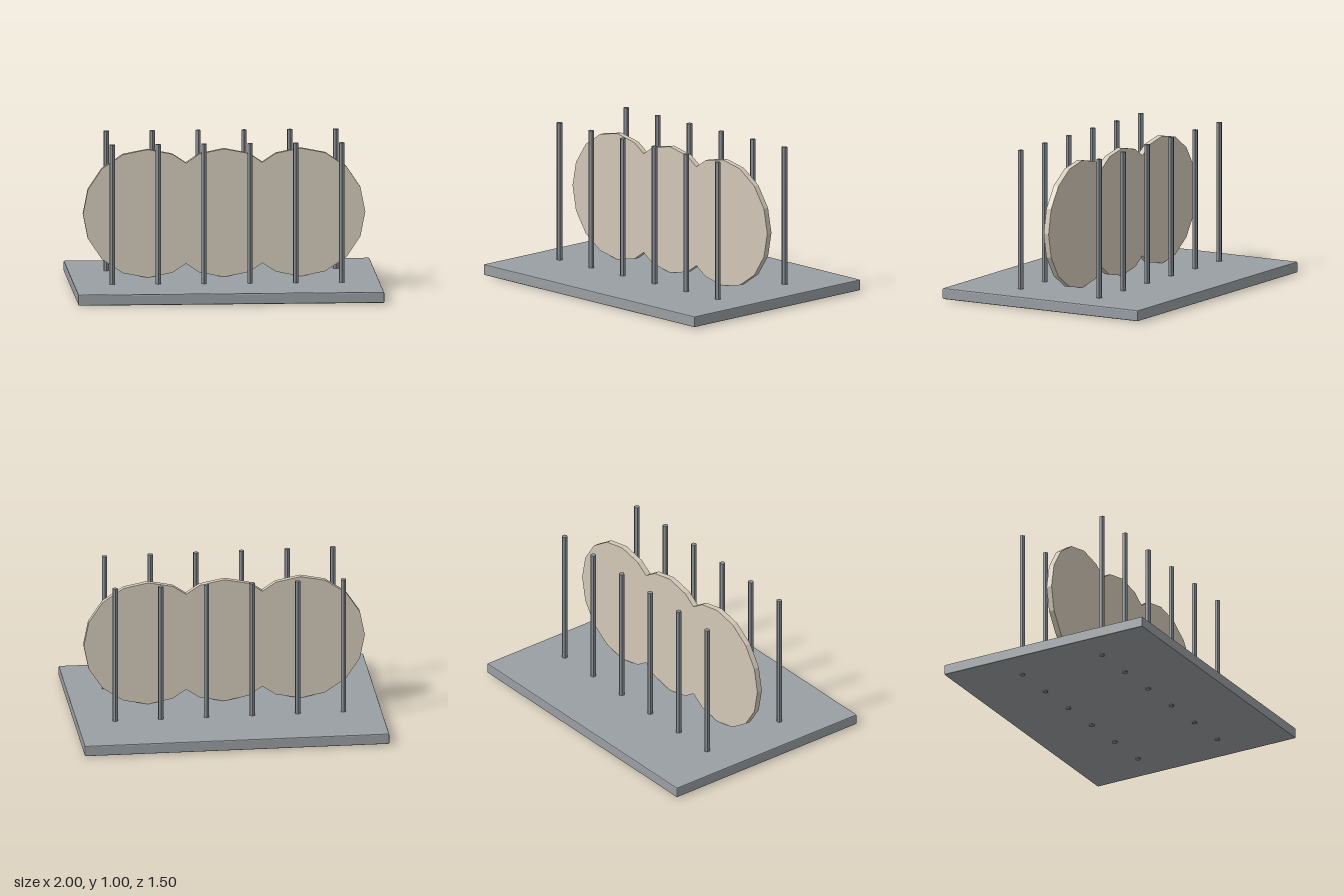
import * as THREE from 'three';
import { RoundedBoxGeometry } from 'three/addons/geometries/RoundedBoxGeometry.js';

const material = (color) => new THREE.MeshStandardMaterial({ color, flatShading: true });

// Outline of three merged 16-sided discs in a row
function panelShape(radius, spacing) {
  const half = spacing / 2;
  const corner = (i) => new THREE.Vector2(
    radius * Math.sin(i * Math.PI / 8), radius * Math.cos(i * Math.PI / 8));
  // Height of the notch where neighbouring discs cross
  const a = corner(1), b = corner(2);
  const notch = a.y + (b.y - a.y) * (half - a.x) / (b.x - a.x);
  const top = [];
  for (const disc of [-1, 0, 1]) {
    for (let i = -4; i <= 4; i++) {
      const p = corner(i);
      if ((disc > -1 && p.x < -half) || (disc < 1 && p.x > half)) continue;
      top.push(new THREE.Vector2(p.x + disc * spacing, i % 8 === 4 ? 0 : p.y));
    }
    if (disc < 1) top.push(new THREE.Vector2(disc * spacing + half, notch));
  }
  // Mirror the upper edge for the lower one, sharing the two end corners
  const bottom = top.slice(1, -1).reverse().map((p) => new THREE.Vector2(p.x, -p.y));
  for (const p of [top[0], top[top.length - 1]]) p.y = 0;
  return new THREE.Shape([...top, ...bottom]);
}

export function createModel() {
  const model = new THREE.Group();

  // Base plate with slightly softened edges
  const base = new THREE.Mesh(
    new RoundedBoxGeometry(2, 0.072, 1.495, 1, 0.007), material(0x9a9fa3));
  base.name = 'basePlate';
  base.position.y = 0.043;
  model.add(base);

  // Upright scalloped panel
  const depth = 0.037;
  const panelGeometry = new THREE.ExtrudeGeometry(panelShape(0.423, 0.5),
    { depth, bevelEnabled: false });
  panelGeometry.translate(0, 0.5, -depth / 2);
  const panel = new THREE.Mesh(panelGeometry, material(0xd2c8b8));
  panel.name = 'scallopedPanel';
  model.add(panel);

  // Two rows of six hexagonal rods, running through the plate
  const rods = new THREE.Group();
  rods.name = 'rods';
  const rodGeometry = new THREE.CylinderGeometry(0.019, 0.019, 1, 6);
  const rodMaterial = material(0x8a8f94);
  for (const z of [-0.3, 0.3]) {
    for (let i = 0; i < 6; i++) {
      const rod = new THREE.Mesh(rodGeometry, rodMaterial);
      rod.name = z > 0 ? 'frontRod' : 'backRod';
      rod.position.set(-0.75 + i * 0.3, 0.5, z);
      rods.add(rod);
    }
  }
  model.add(rods);
  return model;
}
